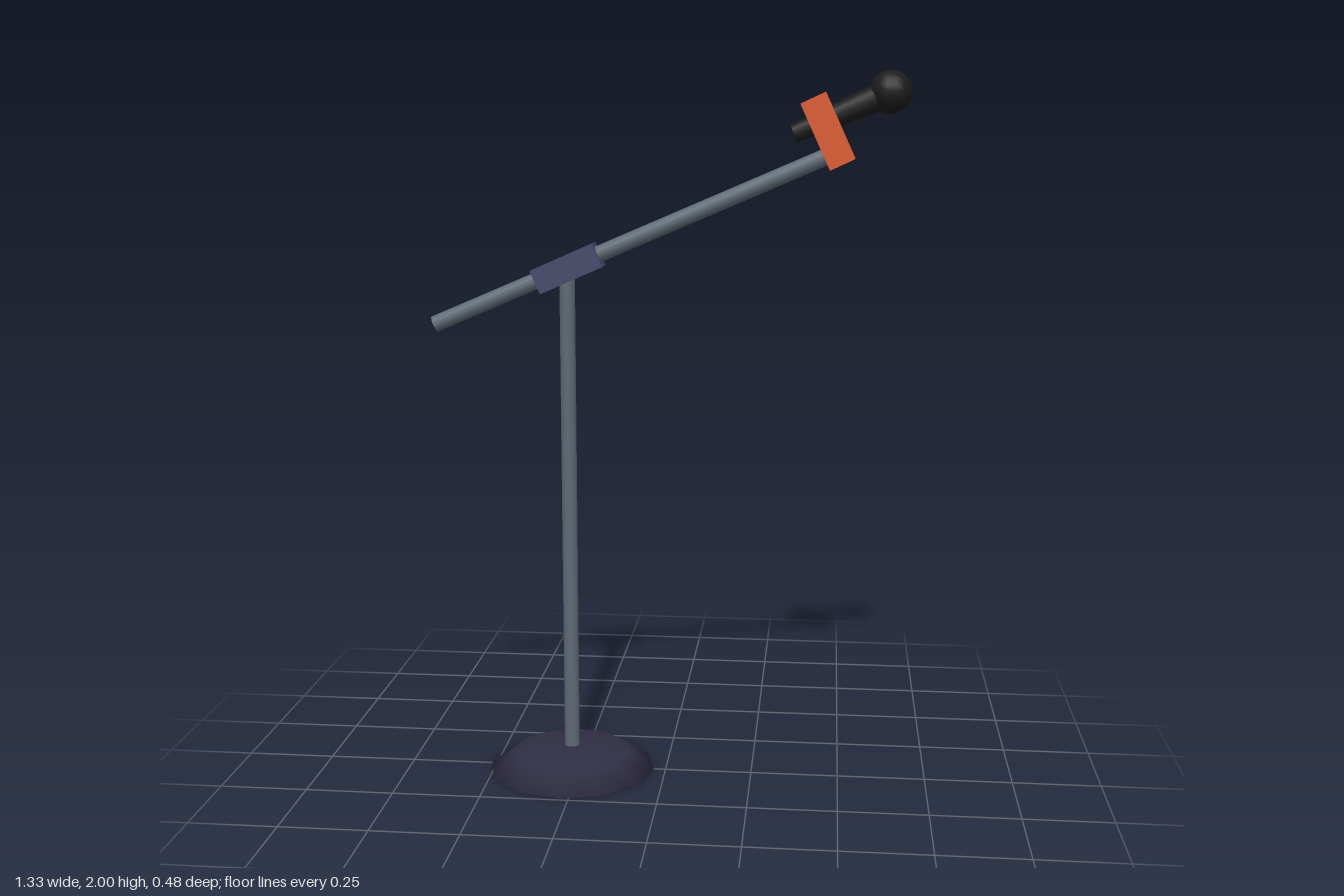
import * as THREE from 'three';

const mat = (name, color) => {
  const m = new THREE.MeshStandardMaterial({ color });
  m.name = name;
  return m;
};

export function createModel() {
  const group = new THREE.Group();
  const steel = mat('steel grey', 0x5f6a75);
  const darkNavy = mat('dark navy', 0x302e45);
  const slate = mat('slate blue', 0x45486a);
  const orange = mat('orange', 0xd9582b);
  const black = mat('black', 0x1c1c1c);
  const tilt = 0.405; // slope shared by boom, clamp, clip and microphone
  const poleX = -0.275;

  const add = (name, geometry, material, x, y, angle = 0) => {
    const mesh = new THREE.Mesh(geometry, material);
    mesh.name = name;
    mesh.position.set(x, y, 0);
    mesh.rotation.z = angle;
    group.add(mesh);
    return mesh;
  };

  // Cylinder running between two points in the z = 0 plane
  const rod = (name, [x0, y0], [x1, y1], r0, r1, material, sides = 12) =>
    add(name, new THREE.CylinderGeometry(r1, r0, Math.hypot(x1 - x0, y1 - y0), sides), material,
      (x0 + x1) / 2, (y0 + y1) / 2, Math.atan2(y1 - y0, x1 - x0) - Math.PI / 2);

  // Base: flattened dome with a flat underside
  const dome = new THREE.SphereGeometry(0.24, 12, 2, 0, Math.PI * 2, 0, Math.PI / 2);
  dome.scale(1, 0.07 / 0.24, 1);
  add('baseDome', dome, darkNavy, poleX, 0);
  add('baseUnderside', new THREE.CircleGeometry(0.24, 12).rotateX(Math.PI / 2), steel, poleX, 0);

  // Upright pole and tilted boom
  rod('pole', [poleX, 0.03], [poleX, 1.45], 0.022, 0.022, steel);
  rod('boom', [-0.653, 1.303], [0.452, 1.777], 0.023, 0.023, steel);

  // Clamp joining pole and boom, and clip holding the microphone
  add('boomClamp', new THREE.BoxGeometry(0.19, 0.07, 0.076), slate, -0.273, 1.464, tilt + 0.01);
  add('microphoneClip', new THREE.BoxGeometry(0.075, 0.195, 0.076), orange, 0.44, 1.838, tilt + 0.03);

  // Microphone: tapered handle and round head
  rod('microphoneHandle', [0.348, 1.832], [0.605, 1.942], 0.025, 0.038, black);
  add('microphoneHead', new THREE.SphereGeometry(0.058, 14, 10), black, 0.605, 1.942);

  return group;
}
